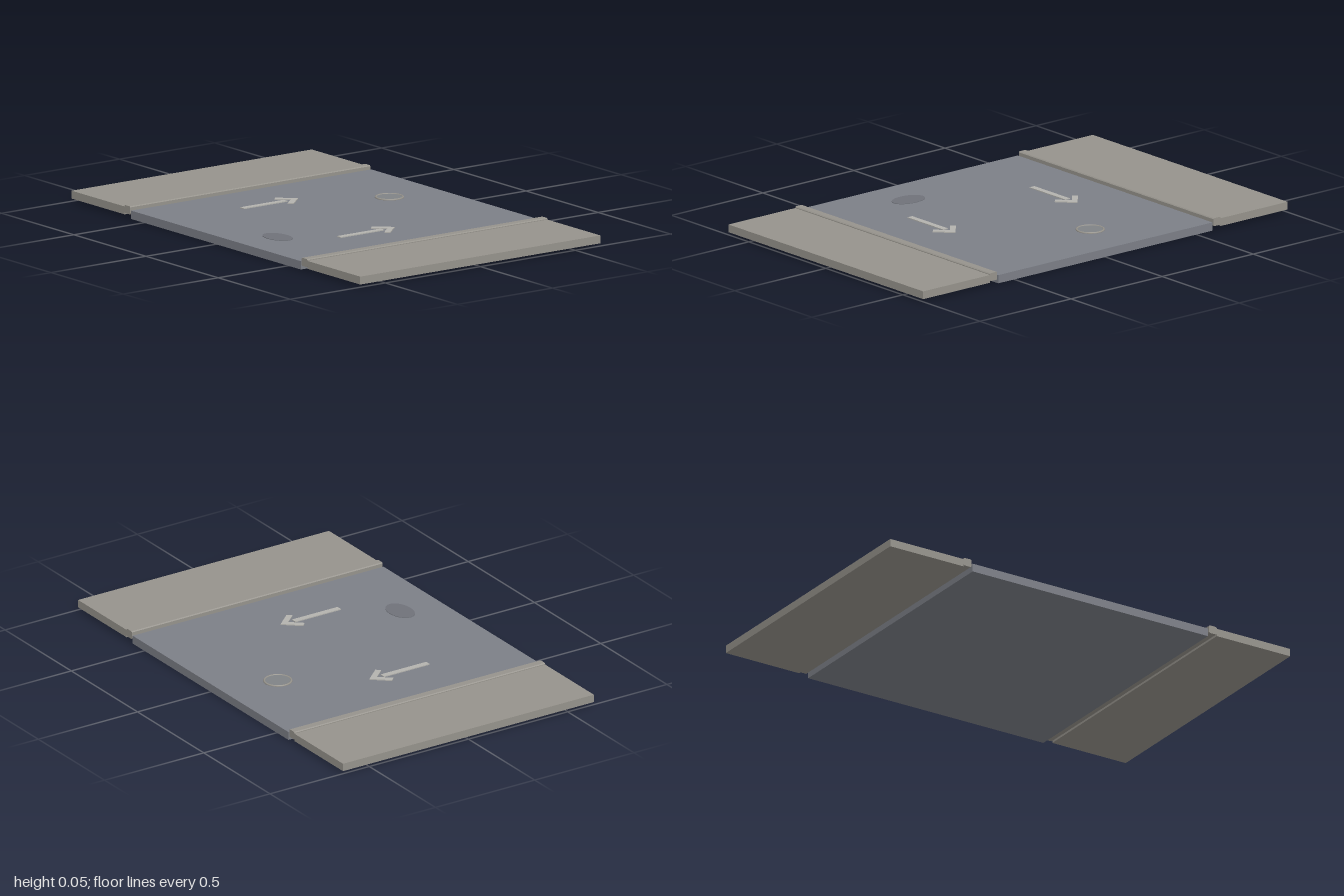
import * as THREE from 'three';

const Z = 0.632; // half length of the road section
const ROAD_TOP = 0.036;

const mat = (color) => new THREE.MeshStandardMaterial({ color });

export function createModel() {
  const root = new THREE.Group();
  const asphalt = mat(0x7c7f87), concrete = mat(0x96938c), paint = mat(0xb4b3ae);
  const iron = mat(0x7f8386), wet = mat(0x6f7279);

  const add = (name, geometry, material, x, y, z, parent = root) => {
    const mesh = new THREE.Mesh(geometry, material);
    mesh.name = name;
    mesh.position.set(x, y, z);
    parent.add(mesh);
    return mesh;
  };
  const box = (name, material, x0, x1, y0, y1, z0, z1, parent) =>
    add(name, new THREE.BoxGeometry(x1 - x0, y1 - y0, z1 - z0), material,
      (x0 + x1) / 2, (y0 + y1) / 2, (z0 + z1) / 2, parent);

  // Road slab
  box('roadSlab', asphalt, -0.588, 0.588, 0, ROAD_TOP, -Z, Z);

  // Curb profile with small chamfers, swept along the road
  const w = 0.0195, h = 0.0175, c = 0.004;
  const curbShape = new THREE.Shape([
    [-w + c, -h], [w - c, -h], [w, -h + c], [w, h - c],
    [w - c, h], [-w + c, h], [-w, h - c], [-w, -h + c],
  ].map(([x, y]) => new THREE.Vector2(x, y)));
  const curbGeometry = new THREE.ExtrudeGeometry(curbShape, { depth: 2 * Z, bevelEnabled: false });

  // Chevron arrow head, drawn with forward as +y
  const headShape = new THREE.Shape([
    [0, 0.055], [-0.064, -0.017], [-0.046, -0.035], [0, 0.018], [0.046, -0.035], [0.064, -0.017],
  ].map(([x, y]) => new THREE.Vector2(x, y)));
  const headGeometry = new THREE.ExtrudeGeometry(headShape, { depth: 0.006, bevelEnabled: false });
  headGeometry.rotateX(-Math.PI / 2);

  for (const side of [-1, 1]) {
    const label = side > 0 ? 'left' : 'right';
    add(label + 'Curb', curbGeometry, concrete, side * 0.6135, 0.035, -Z);

    // Sidewalk of two slabs meeting at the middle joint
    for (const end of [-1, 1]) {
      add(label + (end > 0 ? 'Front' : 'Back') + 'Sidewalk',
        new THREE.BoxGeometry(0.367, 0.034, Z), concrete, side * 0.8165, 0.0285, end * Z / 2);
    }

    // Painted lane arrow
    const arrow = new THREE.Group();
    arrow.name = label + 'LaneArrow';
    arrow.position.set(side * 0.335, 0, 0);
    root.add(arrow);
    box('arrowShaft', paint, -0.013, 0.013, 0.034, 0.04, 0.01, 0.24, arrow);
    add('arrowHead', headGeometry, paint, 0, 0.0345, 0, arrow);
  }

  // Manhole cover with raised rim
  const manhole = new THREE.Group();
  manhole.name = 'manhole';
  manhole.position.set(-0.13, 0, -0.38);
  root.add(manhole);
  add('manholeCover', new THREE.CylinderGeometry(0.058, 0.058, 0.006, 32), iron, 0, 0.036, 0, manhole);
  const rim = add('manholeRim', new THREE.TorusGeometry(0.057, 0.005, 8, 32), concrete, 0, 0.037, 0, manhole);
  rim.rotation.x = Math.PI / 2;

  // Thin oval damp patch
  const patch = add('dampPatch', new THREE.CylinderGeometry(0.08, 0.08, 0.004, 32), wet, 0.175, 0.036, 0.44);
  patch.scale.z = 0.65;

  return root;
}
